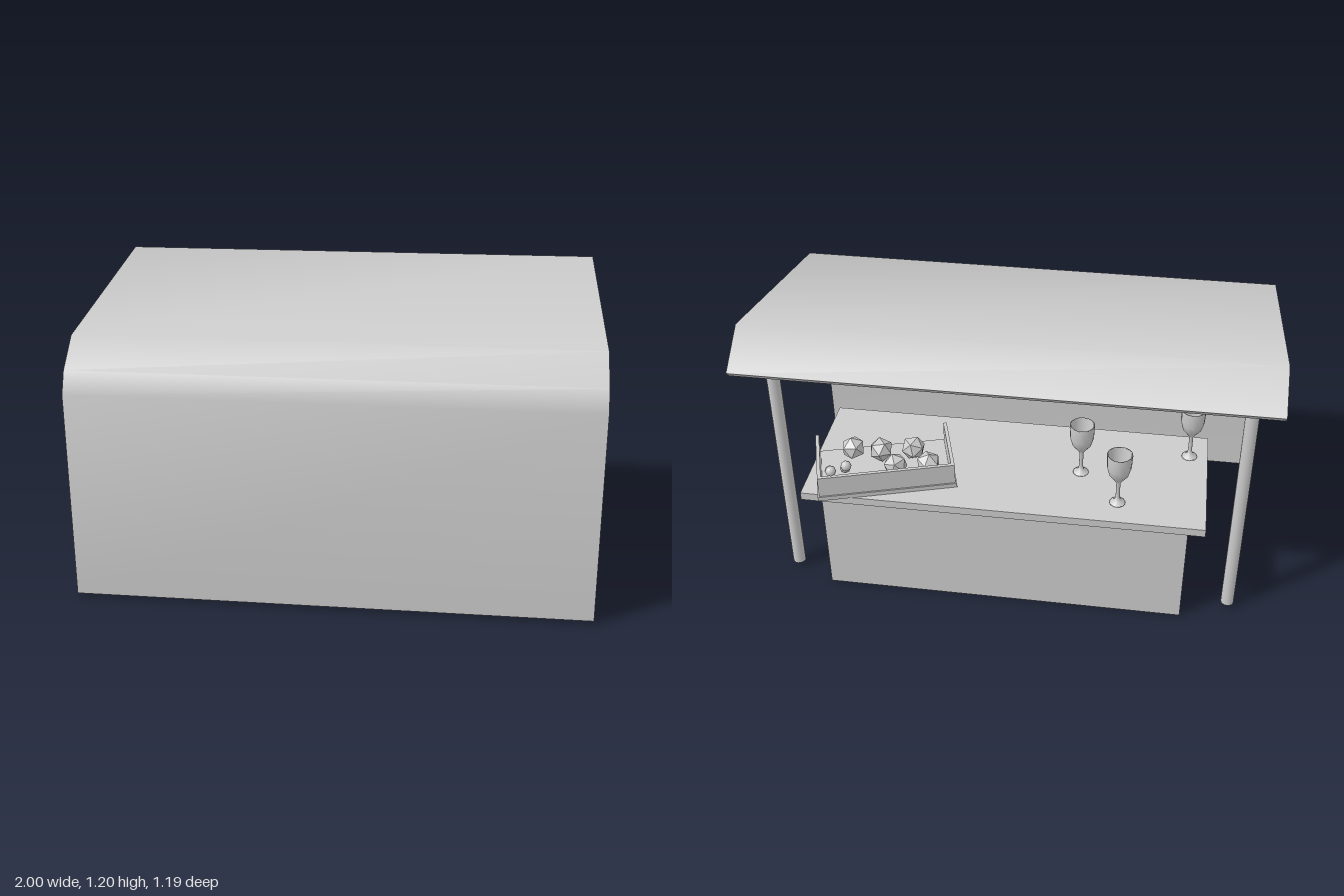
import * as THREE from 'three';
import { toCreasedNormals } from 'three/addons/utils/BufferGeometryUtils.js';

const grey = new THREE.MeshStandardMaterial({ color: 0xcccccc });
const faceted = new THREE.MeshStandardMaterial({ color: 0xcccccc, flatShading: true });
const thin = new THREE.MeshStandardMaterial({ color: 0xcccccc, side: THREE.DoubleSide });

function add(parent, name, geometry, x, y, z, material = grey) {
  const mesh = new THREE.Mesh(geometry, material);
  mesh.name = name;
  mesh.position.set(x, y, z);
  parent.add(mesh);
  return mesh;
}

// box given by its minimum and maximum corners
function addBox(parent, name, [x0, y0, z0], [x1, y1, z1]) {
  return add(parent, name, new THREE.BoxGeometry(x1 - x0, y1 - y0, z1 - z0),
    (x0 + x1) / 2, (y0 + y1) / 2, (z0 + z1) / 2);
}

// bent sheet: front wall, sloping roof and rear eave, extruded along x
function makeCanopy() {
  const profile = [
    [0.595, 0.012], [0.595, 0.83], [0.56, 0.915], [0.45, 1.022], [-0.44, 1.195], [-0.592, 1.078],
    [-0.565, 1.05], [-0.43, 1.15], [0.415, 0.975], [0.522, 0.87], [0.53, 0.83], [0.53, 0.012],
  ];
  const shape = new THREE.Shape(profile.map(([z, y]) => new THREE.Vector2(-z, y)));
  const geometry = new THREE.ExtrudeGeometry(shape, { depth: 2, bevelEnabled: false });
  geometry.translate(0, 0, -1);
  geometry.rotateY(Math.PI / 2);
  return toCreasedNormals(geometry, 1);
}

// stemmed cup with a hollow bowl
function makeGoblet() {
  const points = [
    [0, 0], [0.032, 0], [0.03, 0.005], [0.012, 0.016], [0.008, 0.035], [0.008, 0.1],
    [0.02, 0.118], [0.038, 0.142], [0.047, 0.175], [0.05, 0.235],
    [0.045, 0.235], [0.042, 0.175], [0.032, 0.145], [0, 0.122],
  ];
  return new THREE.LatheGeometry(points.map(([r, y]) => new THREE.Vector2(r, y)), 16);
}

// tray open to the front, filled with fruit and bread
function makeCrate() {
  const crate = new THREE.Group();
  crate.name = 'crate';
  const w = 0.267, d = 0.144, t = 0.014, h = 0.105;
  addBox(crate, 'crateBase', [-w - 0.006, 0, -d - 0.006], [w + 0.006, 0.018, d + 0.006]);
  addBox(crate, 'crateBackWall', [-w, 0.01, -d], [w, h, -d + t]);
  for (const side of [-1, 1]) {
    add(crate, 'crateSideWall', new THREE.BoxGeometry(t, h - 0.01, 2 * d),
      side * (w - t / 2), (h + 0.01) / 2, 0);
  }

  const fruit = new THREE.IcosahedronGeometry(0.05, 0);
  const places = [[0.12, 0.09], [0.01, 0.06], [-0.12, 0.05], [-0.04, -0.05], [-0.17, -0.06]];
  places.forEach(([x, z], i) => {
    add(crate, 'fruit', fruit, x, 0.064, z, faceted).rotation.set(i * 0.7, i * 1.3, 0.4);
  });

  const loaf = new THREE.CapsuleGeometry(0.021, 0.13, 3, 8);
  [0.155, 0.215].forEach((x, i) => {
    add(crate, 'bread', loaf, x, 0.105 - i * 0.008, -0.085 - i * 0.005)
      .rotation.set(-0.85 - i * 0.08, 0, 0.05);
  });
  return crate;
}

export function createModel() {
  const stall = new THREE.Group();
  stall.name = 'marketStall';

  add(stall, 'canopy', makeCanopy(), 0, 0, 0);

  // rear posts
  const post = new THREE.CylinderGeometry(0.026, 0.026, 1.14, 16);
  for (const side of [-1, 1]) add(stall, 'post', post, side * 0.9, 0.587, -0.404);

  // counter
  addBox(stall, 'counterBody', [-0.71, 0, -0.495], [0.735, 0.452, -0.048]);
  addBox(stall, 'counterTop', [-0.775, 0.452, -0.522], [0.81, 0.485, 0.065]);

  const crate = makeCrate();
  crate.position.set(0.51, 0.486, -0.338);
  crate.rotation.y = 0.304;
  stall.add(crate);

  // goblets
  const goblet = makeGoblet();
  for (const [x, z] of [[-0.7, -0.07], [-0.27, -0.235], [-0.43, -0.405]]) {
    add(stall, 'goblet', goblet, x, 0.485, z, thin);
  }
  return stall;
}
